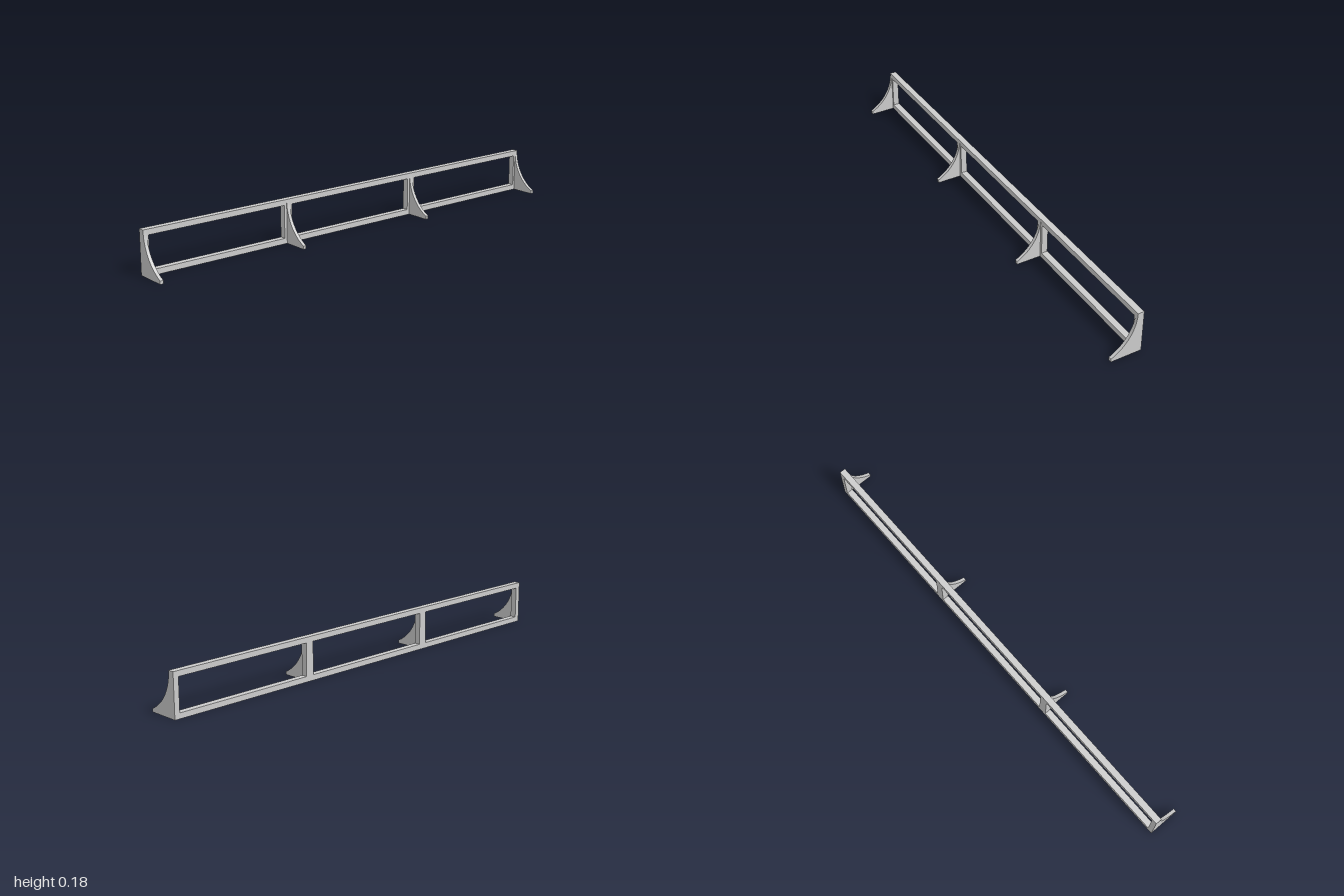
import * as THREE from 'three';
import { toCreasedNormals } from 'three/addons/utils/BufferGeometryUtils.js';

const HEIGHT = 0.184, BACK = -0.067, FACE = -0.04, TOE = 0.067;
const RAIL = 0.023, POST = 0.037, BRACKET = 0.014, POST_X = 0.332;

function rectangle(target, x0, y0, x1, y1) {
  target.moveTo(x0, y0);
  target.lineTo(x1, y0);
  target.lineTo(x1, y1);
  target.lineTo(x0, y1);
  target.closePath();
  return target;
}

// Flat frame with three rectangular openings
function frameGeometry() {
  const shape = rectangle(new THREE.Shape(), -1, 0, 1, HEIGHT);
  const inner = POST_X - POST / 2, outer = POST_X + POST / 2, end = 1 - RAIL;
  for (const [a, b] of [[-end, -outer], [-inner, inner], [outer, end]]) {
    shape.holes.push(rectangle(new THREE.Path(), a, RAIL, b, HEIGHT - RAIL));
  }
  return new THREE.ExtrudeGeometry(shape, { depth: FACE - BACK, bevelEnabled: false })
    .translate(0, 0, BACK);
}

// Bracket with a concave front edge that meets the frame's top vertically
function bracketGeometry() {
  const centreZ = 0.1486, toeY = 0.014;
  const shape = new THREE.Shape();
  shape.moveTo(FACE, 0);
  shape.lineTo(TOE, 0);
  shape.lineTo(TOE, toeY);
  shape.absarc(centreZ, HEIGHT, centreZ - FACE,
    Math.atan2(toeY - HEIGHT, TOE - centreZ), -Math.PI, true);
  shape.closePath();
  const geometry = new THREE.ExtrudeGeometry(shape, {
    depth: BRACKET, bevelEnabled: false, curveSegments: 24,
  });
  geometry.translate(0, 0, -BRACKET / 2).rotateY(-Math.PI / 2);
  return toCreasedNormals(geometry, 0.4);
}

export function createModel() {
  const group = new THREE.Group();
  group.name = 'bracketedFrame';
  const material = new THREE.MeshStandardMaterial({ color: 0xcccccc });

  const frame = new THREE.Mesh(frameGeometry(), material);
  frame.name = 'frame';
  group.add(frame);

  // One bracket per post, the outer pair flush with the frame ends
  const geometry = bracketGeometry();
  const endX = 1 - BRACKET / 2;
  [-endX, -POST_X, POST_X, endX].forEach((x, i) => {
    const bracket = new THREE.Mesh(geometry, material);
    bracket.name = `bracket${i + 1}`;
    bracket.position.x = x;
    group.add(bracket);
  });
  return group;
}
